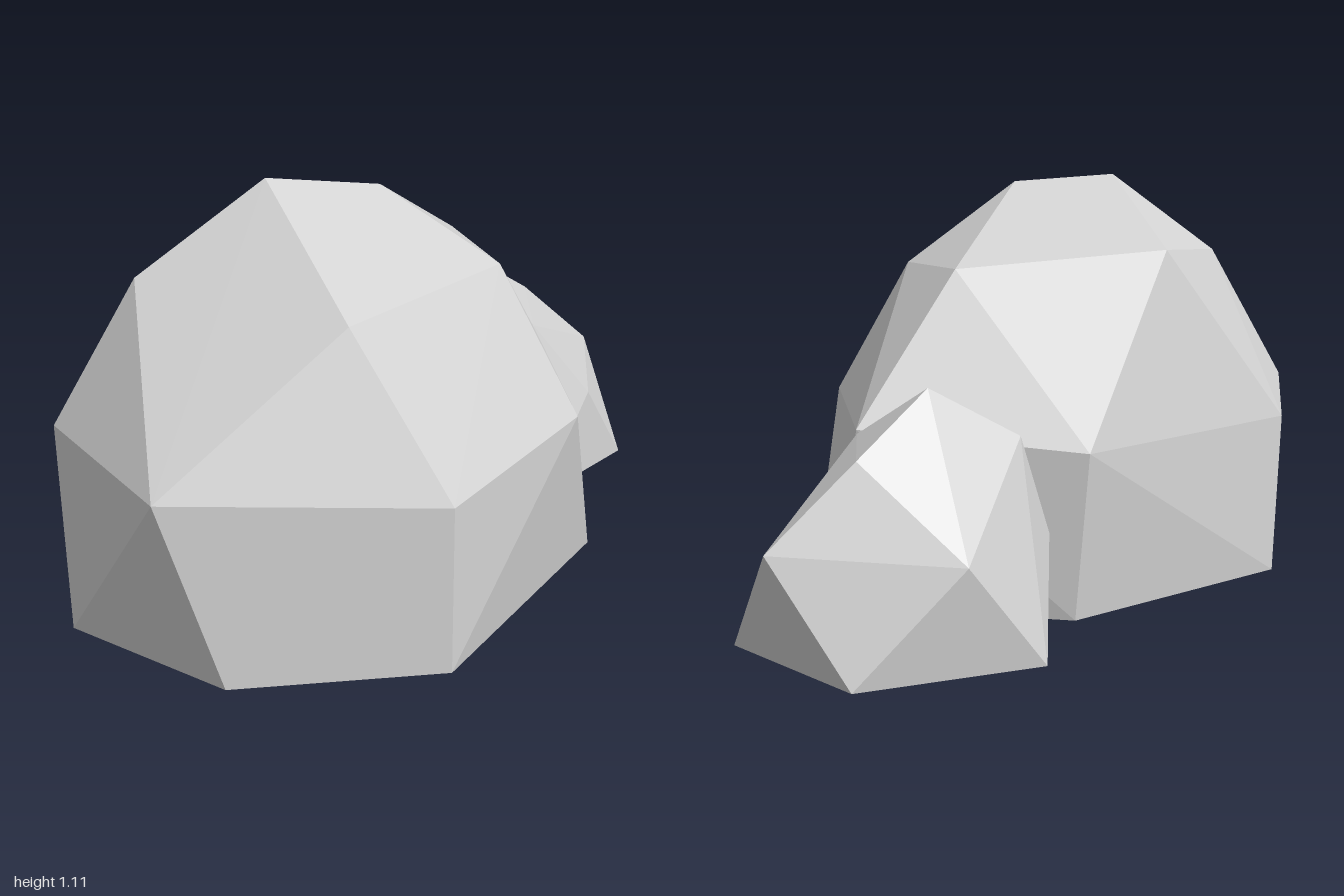
import * as THREE from 'three';
import { ConvexGeometry } from 'three/addons/geometries/ConvexGeometry.js';

const stone = new THREE.MeshStandardMaterial({ color: 0xd2d2d2, flatShading: true });
stone.name = 'stone grey';

// A faceted rock: the convex hull of its corner points
function rock(name, corners) {
  const points = corners.map(([x, y, z]) => new THREE.Vector3(x, y, z));
  const mesh = new THREE.Mesh(new ConvexGeometry(points), stone);
  mesh.name = name;
  return mesh;
}

export function createModel() {
  const group = new THREE.Group();
  group.name = 'rocks';

  group.add(rock('largeRock', [
    // ground ring
    [-1, 0, 0], [-0.815, 0, 0.48], [-0.32, 0, 0.71], [0.41, 0, 0.335],
    [0.545, 0, 0], [0.145, 0, -0.48], [-0.62, 0, -0.44],
    // middle ring
    [-0.96, 0.5, -0.14], [-0.945, 0.48, 0.4], [-0.31, 0.43, 0.7], [0.21, 0.485, 0.51],
    [0.55, 0.48, -0.105], [0.13, 0.43, -0.515], [-0.68, 0.43, -0.41],
    // shoulders and crown
    [-0.76, 0.88, -0.045], [-0.455, 0.84, 0.47], [0.11, 0.86, 0.295],
    [0.21, 0.865, -0.065], [-0.285, 0.91, -0.345],
    [-0.43, 1.105, 0.035], [-0.18, 1.085, 0.175],
  ]));

  group.add(rock('smallRock', [
    // ground ring
    [0.92, 0, -0.13], [0.89, 0, -0.6], [0.43, 0, -0.715], [0.15, 0, -0.37], [0.5, 0, 0.01],
    // middle ring
    [1, 0.29, -0.42], [0.75, 0.25, -0.09], [0.4, 0.22, -0.08],
    [0.22, 0.28, -0.28], [0.26, 0.25, -0.515], [0.64, 0.26, -0.695],
    // shoulders and crown
    [0.58, 0.48, -0.155], [0.79, 0.485, -0.475], [0.35, 0.5, -0.515], [0.56, 0.625, -0.43],
  ]));

  return group;
}
